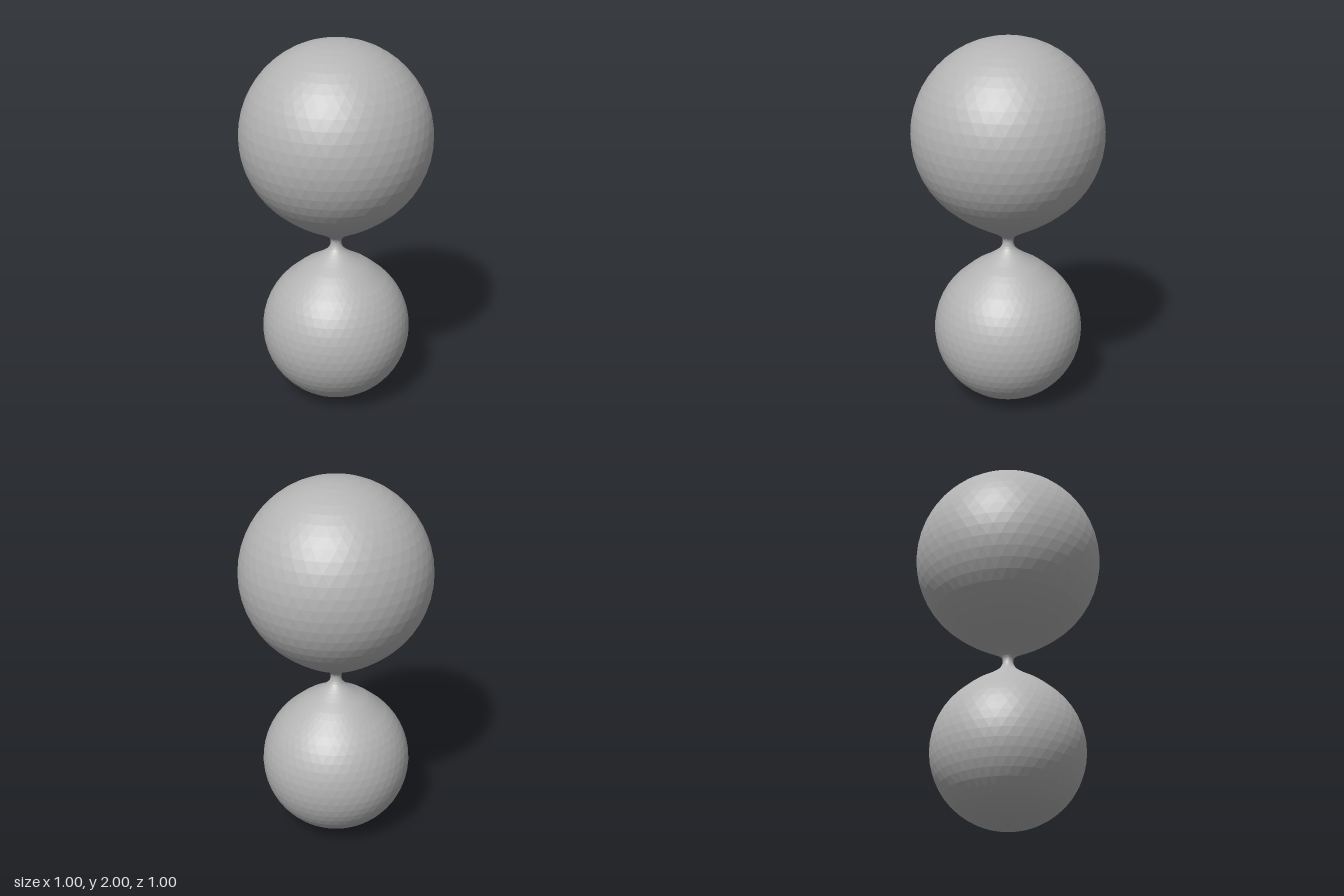
import * as THREE from 'three';

const SIDES = 44;

// Points along a circular arc of the profile, angles in degrees from straight down
function arc(centerY, radius, from, to, steps) {
  return Array.from({ length: steps + 1 }, (_, i) => {
    const a = THREE.MathUtils.degToRad(from + (to - from) * i / steps);
    return new THREE.Vector2(Math.max(0, radius * Math.sin(a)), centerY - radius * Math.cos(a));
  });
}

// Lathe whose rings are each turned half a step, giving even triangular facets
function facetedLathe(points) {
  const geometry = new THREE.LatheGeometry(points, SIDES);
  const pos = geometry.attributes.position;
  const v = new THREE.Vector3();
  const up = new THREE.Vector3(0, 1, 0);
  for (let i = 0; i < pos.count; i++) {
    const ring = i % points.length;
    v.fromBufferAttribute(pos, i).applyAxisAngle(up, ring * Math.PI / SIDES);
    pos.setXYZ(i, v.x, v.y, v.z);
  }
  geometry.computeVertexNormals();
  return geometry;
}

export function createModel() {
  const group = new THREE.Group();
  group.name = 'pinchedBulbs';
  const grey = new THREE.MeshStandardMaterial({ color: 0xb4b4b4, flatShading: true });
  grey.name = 'grey';

  const lower = arc(0.4, 0.4, 0, 136, 20);
  const upper = arc(1.5, 0.5, 44, 180, 20);

  // Pinched neck flaring smoothly into both bulbs
  const neckCurve = new THREE.SplineCurve([
    lower[20], [0.19, 0.762], [0.12, 0.805], [0.065, 0.843], [0.037, 0.872],
    [0.028, 0.905], [0.037, 0.93], [0.065, 0.953], [0.12, 0.985], [0.2, 1.03],
    [0.28, 1.084], upper[0],
  ].map((p) => (Array.isArray(p) ? new THREE.Vector2(...p) : p)));
  const neck = neckCurve.getPoints(28);

  const parts = { lowerBulb: lower, neck, upperBulb: upper };
  for (const [name, points] of Object.entries(parts)) {
    const mesh = new THREE.Mesh(facetedLathe(points), grey);
    mesh.name = name;
    group.add(mesh);
  }
  return group;
}
